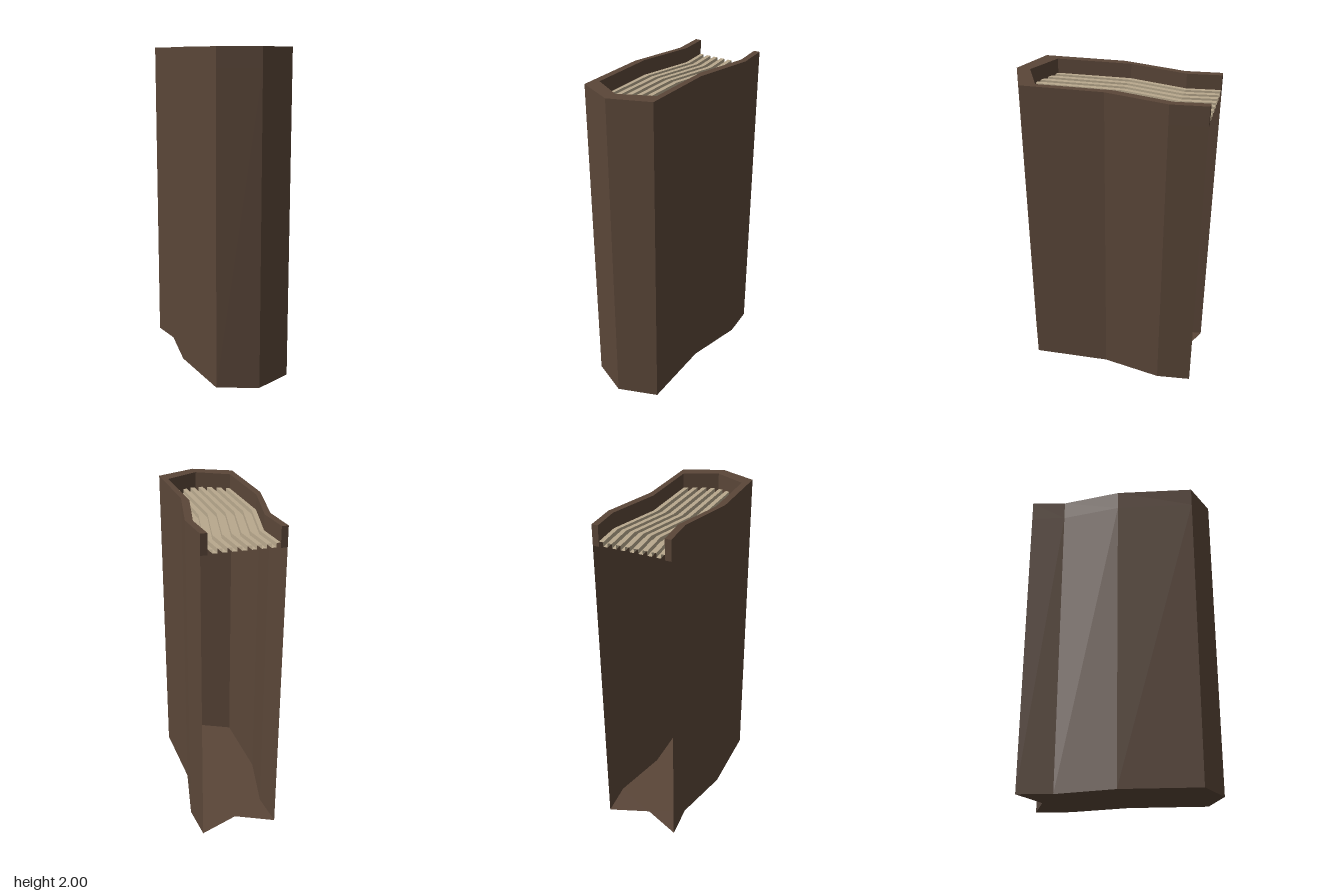
import * as THREE from 'three';

// Outer and inner cover outlines as [x, z], from the right back edge round the spine
const OUTER = [[-0.235, -0.59], [-0.207, -0.375], [-0.27, 0], [-0.236, 0.485], [0, 0.588],
  [0.238, 0.485], [0.206, 0], [0.268, -0.375], [0.239, -0.59]];
const INNER = [[-0.197, -0.59], [-0.169, -0.39], [-0.232, -0.045], [-0.199, 0.402], [0, 0.505],
  [0.197, 0.402], [0.167, -0.045], [0.228, -0.39], [0.2, -0.59]];
const RIM_Y = 1.88;

// Flat-faced surface through rows of points
function sheet(rows) {
  const pos = [];
  for (let r = 0; r < rows.length - 1; r++) {
    for (let c = 0; c < rows[r].length - 1; c++) {
      const [a, b, d, e] = [rows[r][c], rows[r + 1][c], rows[r + 1][c + 1], rows[r][c + 1]];
      pos.push(...a, ...b, ...d, ...a, ...d, ...e);
    }
  }
  const g = new THREE.BufferGeometry();
  g.setAttribute('position', new THREE.Float32BufferAttribute(pos, 3));
  g.computeVertexNormals();
  return g;
}

const toShape = (pts) => new THREE.Shape(pts.map(([x, z]) => new THREE.Vector2(x, z)));

export function createModel() {
  const group = new THREE.Group();
  group.name = 'book';
  const cover = new THREE.MeshStandardMaterial({ color: 0x5a4638, side: THREE.DoubleSide });
  cover.name = 'cover brown';
  const paper = new THREE.MeshStandardMaterial({ color: 0xb8a88d, side: THREE.DoubleSide });
  paper.name = 'paper beige';

  function add(name, geometry, material) {
    const mesh = new THREE.Mesh(geometry, material);
    mesh.name = name;
    group.add(mesh);
  }

  // Thin cover walls, open at the back
  add('coverWalls', sheet(OUTER.map(([x, z]) => [[x, 0, z], [x, RIM_Y, z]])), cover);

  // Thick raised rim around the pages
  const rim = new THREE.ExtrudeGeometry(toShape([...OUTER, ...[...INNER].reverse()]),
    { depth: 2 - RIM_Y, bevelEnabled: false });
  rim.rotateX(Math.PI / 2).translate(0, 2, 0);
  add('coverRim', rim, cover);

  // Base, notched at the back to echo the pointed spine
  const base = new THREE.ShapeGeometry(toShape([...OUTER, [0, -0.49]]));
  base.rotateX(Math.PI / 2);
  add('base', base, cover);

  // Page tops: strips of alternating height following the bend of the cover
  const strips = 15;
  const width = 0.4;
  const section = [];
  for (let i = 0; i < strips; i++) {
    const y = i % 2 ? 1.885 : 1.91;
    section.push([(i / strips - 0.5) * width, y], [((i + 1) / strips - 0.5) * width, y]);
  }
  const bend = [[0, -0.589], [0.029, -0.39], [-0.032, -0.045], [0, 0.48]];
  add('pages', sheet(bend.map(([cx, z]) => section.map(([x, y]) => [x + cx, y, z]))), paper);

  return group;
}
